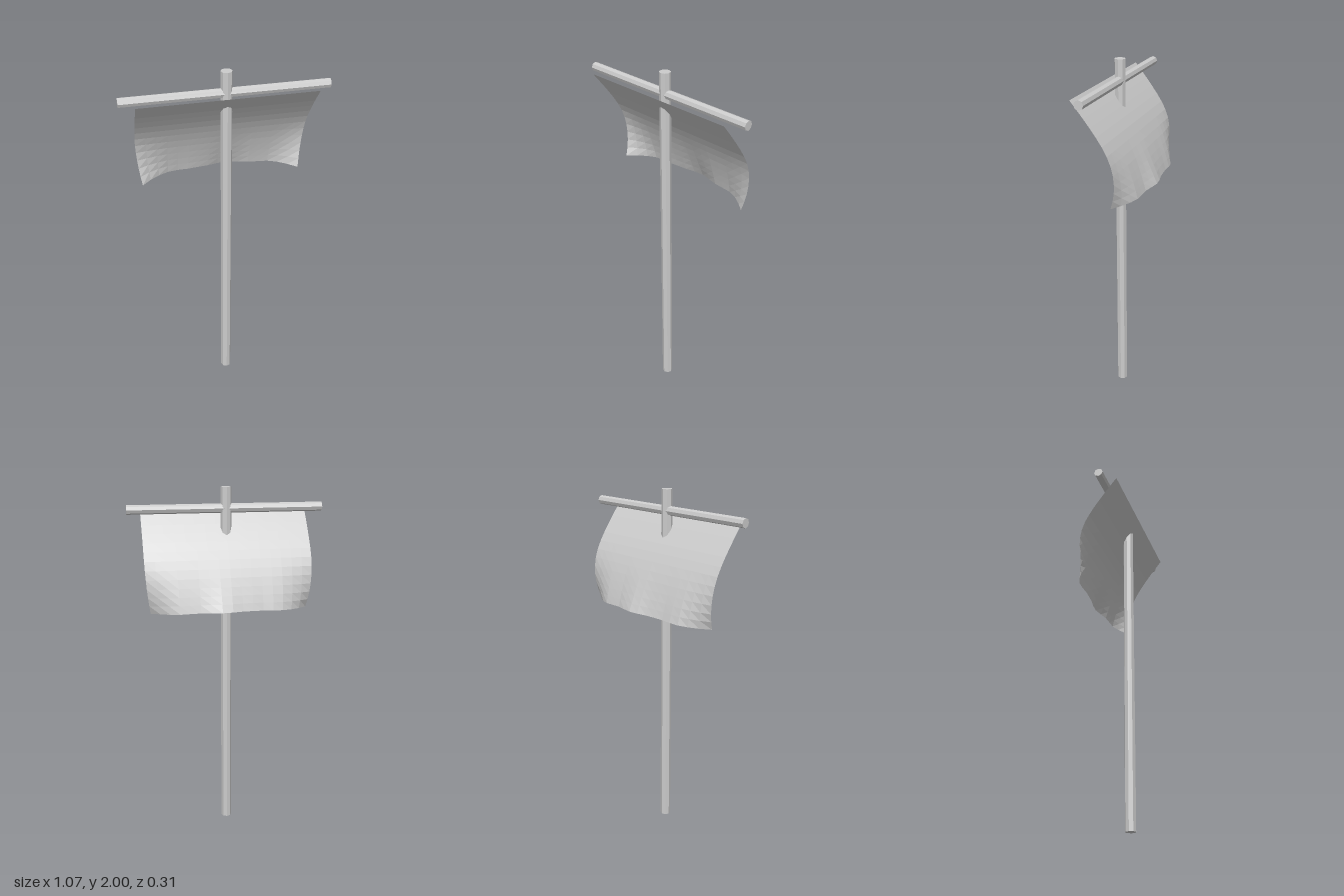
import * as THREE from 'three';

const wood = new THREE.MeshStandardMaterial({ color: 0xcccccc, flatShading: true });
const cloth = new THREE.MeshStandardMaterial({ color: 0xcccccc, flatShading: true, side: THREE.DoubleSide });

const MAST_Z = 0.075;

// Octagonal rod
function rod(name, radius, length) {
  const mesh = new THREE.Mesh(new THREE.CylinderGeometry(radius, radius, length, 8), wood);
  mesh.name = name;
  return mesh;
}

// Linear lookup in a short list of [x, value] pairs
function lookup(pairs, x) {
  for (let i = 1; i < pairs.length; i++) {
    const [x0, v0] = pairs[i - 1], [x1, v1] = pairs[i];
    if (x <= x1) return v0 + (v1 - v0) * Math.max(0, (x - x0) / (x1 - x0));
  }
  return pairs[pairs.length - 1][1];
}

// Cloth sheet: a curved drop whose hem ripples and curls forward at the sides
function sail() {
  const profile = new THREE.CatmullRomCurve3([
    [1.885, 0.155], [1.785, 0.075], [1.68, 0], [1.57, -0.06], [1.46, -0.11], [1.36, -0.155],
  ].map(([y, z]) => new THREE.Vector3(0, y, z)));
  const ripple = [
    [-0.46, 0.125], [-0.4, 0.08], [-0.345, 0.05], [-0.285, 0.028], [-0.23, 0.024], [-0.17, 0.026],
    [-0.06, 0.017], [0, 0.005], [0.06, 0], [0.115, 0.012], [0.17, 0.025], [0.23, 0.028],
    [0.285, 0.03], [0.345, 0.05], [0.4, 0.08], [0.46, 0.12],
  ];
  const geo = new THREE.PlaneGeometry(0.92, 1, 16, 12);
  const pos = geo.attributes.position;
  for (let i = 0; i < pos.count; i++) {
    const x = pos.getX(i), t = THREE.MathUtils.clamp(0.5 - pos.getY(i), 0, 1);
    const u = x / 0.46;
    const curl = Math.max(0, (t - 0.45) / 0.55) ** 2;
    const p = profile.getPoint(t);
    pos.setXYZ(i,
      x - 0.025 * curl * u ** 3,
      p.y - 0.015 * curl * u * u,
      p.z + curl * lookup(ripple, x));
  }
  geo.computeVertexNormals();
  const mesh = new THREE.Mesh(geo, cloth);
  mesh.name = 'sail';
  return mesh;
}

export function createModel() {
  const model = new THREE.Group();
  model.name = 'mastWithSail';

  const mast = rod('mast', 0.03, 2);
  mast.position.set(0, 1, MAST_Z);

  const yard = rod('crossbar', 0.025, 1.074);
  yard.rotation.z = Math.PI / 2;
  yard.position.set(0, 1.887, MAST_Z);

  model.add(mast, yard, sail());
  return model;
}
